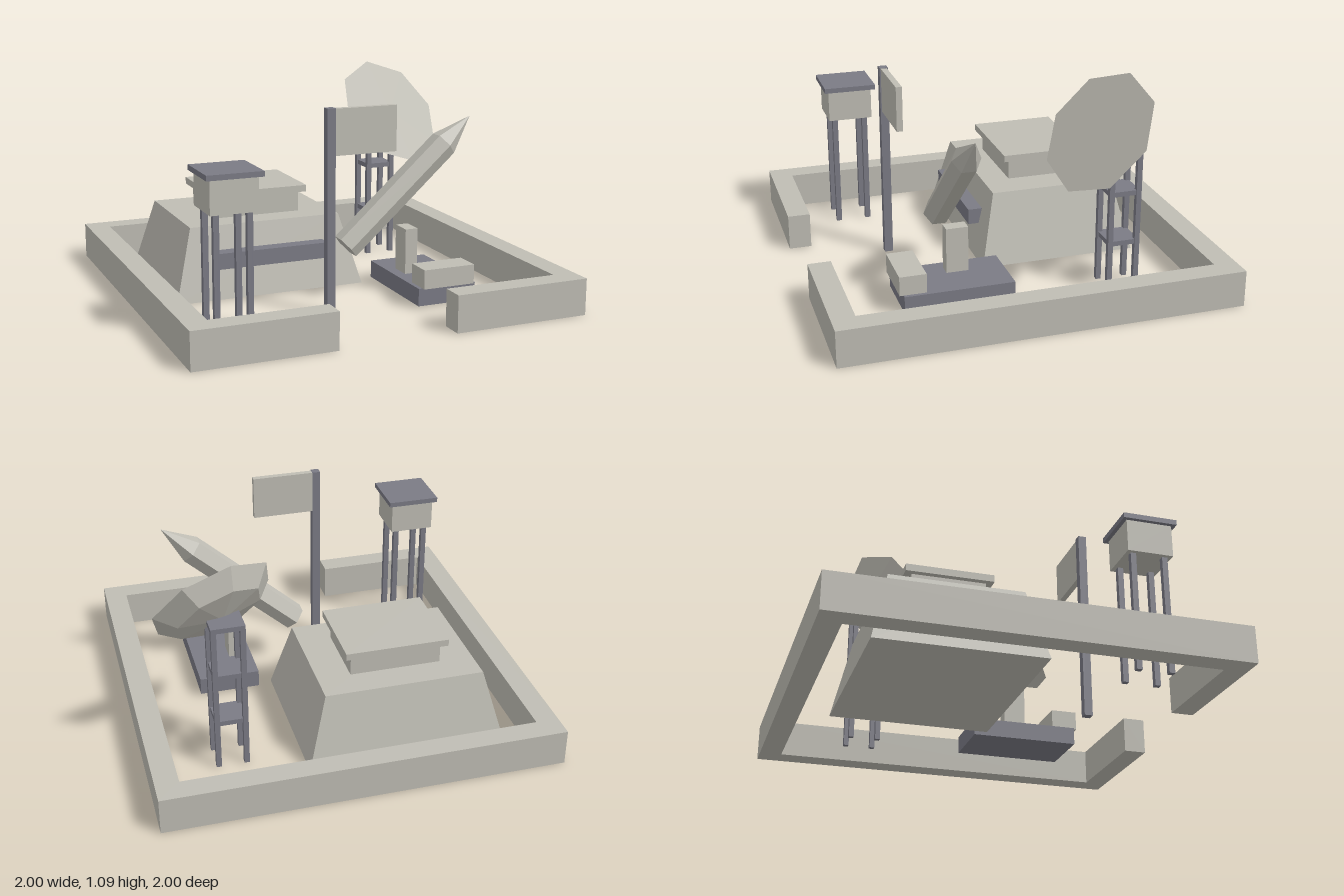
import * as THREE from 'three';

export function createModel() {
  const root = new THREE.Group();
  root.name = 'militaryBase';

  const concrete = new THREE.MeshStandardMaterial({ color: 0xbfbdb4, flatShading: true });
  concrete.name = 'concrete';
  const steel = new THREE.MeshStandardMaterial({ color: 0x7b7b85, flatShading: true });
  steel.name = 'steel';

  function add(parent, name, geometry, material) {
    const mesh = new THREE.Mesh(geometry, material);
    mesh.name = name;
    parent.add(mesh);
    return mesh;
  }

  // Box given by its lower and upper limits on each axis
  function box(parent, name, material, [x0, x1], [y0, y1], [z0, z1]) {
    const mesh = add(parent, name, new THREE.BoxGeometry(x1 - x0, y1 - y0, z1 - z0), material);
    mesh.position.set((x0 + x1) / 2, (y0 + y1) / 2, (z0 + z1) / 2);
    return mesh;
  }

  function group(name, x = 0, y = 0, z = 0) {
    const g = new THREE.Group();
    g.name = name;
    g.position.set(x, y, z);
    root.add(g);
    return g;
  }

  // Four square legs at the corners of a tower
  function legs(parent, spacing, width, height) {
    for (const sx of [-1, 1]) {
      for (const sz of [-1, 1]) {
        const leg = add(parent, 'leg', new THREE.BoxGeometry(width, height, width), steel);
        leg.position.set(sx * spacing, height / 2, sz * spacing);
      }
    }
  }

  // Perimeter wall with a gate gap at the front
  const t = 0.885;
  const outline = [
    [-0.305, -1], [-1, -1], [-1, 1], [1, 1], [1, -1], [0.295, -1],
    [0.295, -t], [t, -t], [t, t], [-t, t], [-t, -t], [-0.305, -t],
  ].map(([x, y]) => new THREE.Vector2(x, y));
  const wall = new THREE.ExtrudeGeometry(new THREE.Shape(outline), { depth: 0.185, bevelEnabled: false });
  wall.rotateX(-Math.PI / 2);
  add(root, 'perimeterWall', wall, concrete);

  // Bunker: tapered base, upper block, cap slab and front slot
  const bunker = group('bunker');
  const taper = new THREE.BoxGeometry(1.01, 0.367, 0.825);
  const p = taper.attributes.position;
  for (let i = 0; i < p.count; i++) {
    if (p.getY(i) > 0) p.setXYZ(i, p.getX(i) * 0.802, p.getY(i), p.getZ(i) * 0.794);
  }
  add(bunker, 'bunkerBase', taper, concrete).position.set(-0.28, 0.1835, -0.3275);
  box(bunker, 'bunkerUpperBlock', concrete, [-0.51, -0.045], [0.36, 0.475], [-0.505, -0.14]);
  box(bunker, 'bunkerCap', concrete, [-0.54, -0.012], [0.475, 0.51], [-0.54, -0.105]);
  box(bunker, 'bunkerSlot', steel, [-0.577, 0.022], [0.163, 0.245], [0.02, 0.103]);

  // Flag
  const flag = group('flag');
  box(flag, 'flagPole', steel, [-0.16, -0.118], [0, 1.015], [0.48, 0.523]);
  box(flag, 'flagCloth', concrete, [-0.118, 0.205], [0.785, 1.012], [0.486, 0.517]);

  // Watchtower
  const watch = group('watchtower', -0.691, 0, 0.593);
  legs(watch, 0.081, 0.028, 0.61);
  box(watch, 'watchCabin', concrete, [-0.116, 0.116], [0.6, 0.765], [-0.116, 0.116]);
  box(watch, 'watchRoof', steel, [-0.137, 0.137], [0.764, 0.79], [-0.137, 0.137]);

  // Missile launcher
  const launcher = group('launcher');
  box(launcher, 'launcherBed', steel, [0.3, 0.615], [0.01, 0.1], [0.04, 0.595]);
  box(launcher, 'launcherCab', concrete, [0.32, 0.597], [0.1, 0.198], [0.48, 0.615]);
  box(launcher, 'launcherPost', concrete, [0.355, 0.422], [0.1, 0.335], [0.222, 0.335]);

  // Six-sided missile raised toward +x
  const missile = group('missile', 0.045, 0.265, 0.279);
  missile.rotation.z = -0.84;
  add(missile, 'missileBody', new THREE.CylinderGeometry(0.073, 0.073, 0.735, 6), concrete).position.y = 0.3675;
  add(missile, 'missileNose', new THREE.ConeGeometry(0.073, 0.2, 6), concrete).position.y = 0.835;

  // Radar mast with shelves
  const mast = group('radarMast', 0.574, 0, -0.506);
  legs(mast, 0.07, 0.026, 0.77);
  for (const [y0, y1, h] of [[0.237, 0.262, 0.077], [0.497, 0.522, 0.077], [0.76, 0.785, 0.083]]) {
    box(mast, 'mastShelf', steel, [-h, h], [y0, y1], [-h, h]);
  }

  // Eight-sided dish: flat face, faceted bowl behind
  const profile = [[0, -0.12], [0.226, -0.085], [0.32, 0], [0, 0]].map(([x, y]) => new THREE.Vector2(x, y));
  const dish = add(root, 'radarDish', new THREE.LatheGeometry(profile, 8), concrete);
  const side = new THREE.Vector3(0.302, 0, -0.11).normalize();
  const facing = new THREE.Vector3(0.278, 0.585, 0.762).normalize();
  const third = new THREE.Vector3().crossVectors(side, facing).normalize();
  dish.quaternion.setFromRotationMatrix(new THREE.Matrix4().makeBasis(side, facing, third));
  dish.position.set(0.607, 0.827, -0.377);

  return root;
}
